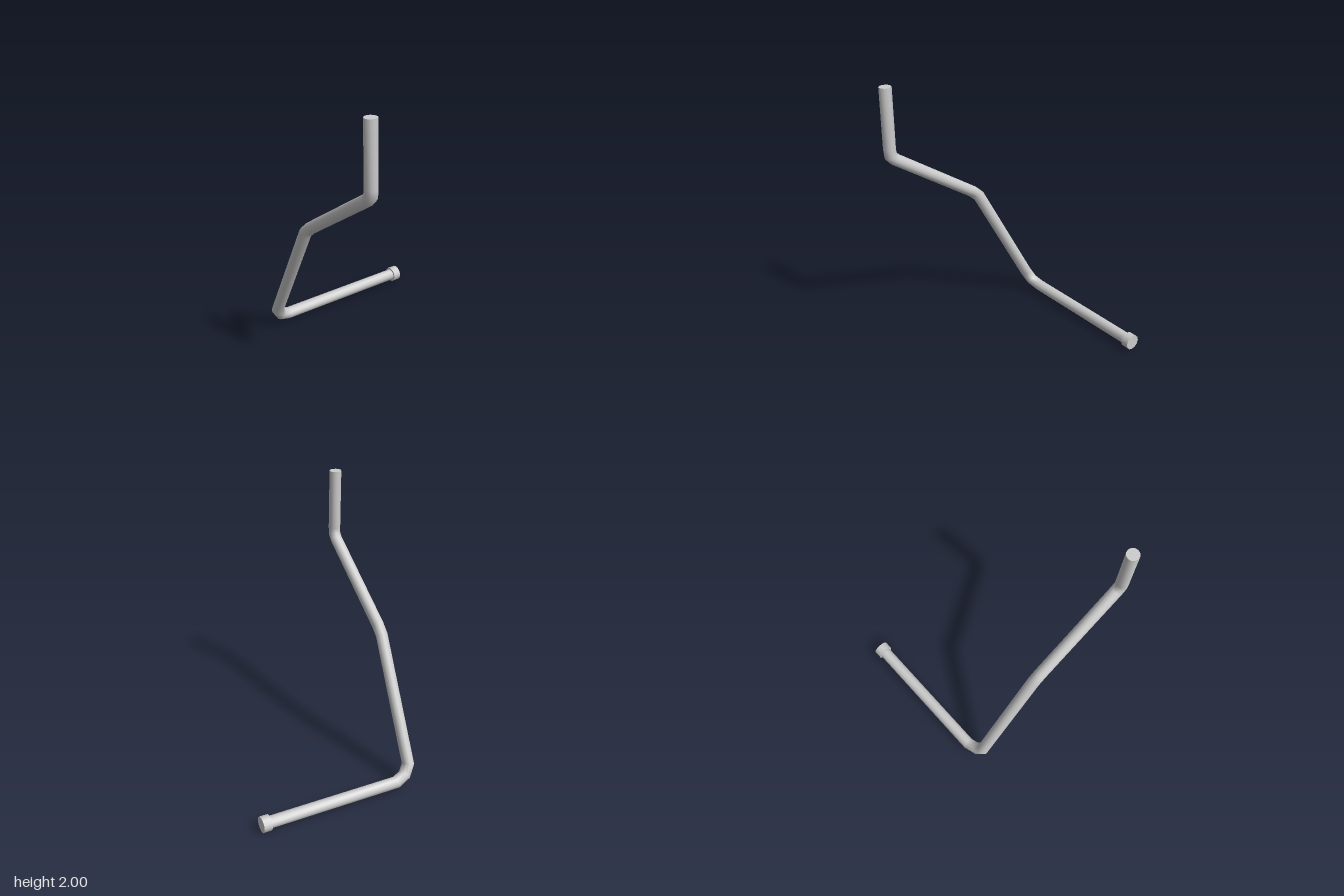
import * as THREE from 'three';

const SIDES = 12;
const RADIUS = 0.044;

// Sweep a round section along straight runs, mitring the rings at each bend
function sweepPipe(points, radius, sides) {
  const dirs = points.slice(1).map((p, i) => p.clone().sub(points[i]).normalize());
  const positions = [];
  const index = [];
  const u = new THREE.Vector3(1, 0, 0);
  const v = new THREE.Vector3();
  const p = new THREE.Vector3();
  points.forEach((point, i) => {
    const before = dirs[Math.max(i - 1, 0)];
    const after = dirs[Math.min(i, dirs.length - 1)];
    const plane = before.clone().add(after).normalize();
    // Carry the frame along the run that arrives at this ring
    u.addScaledVector(before, -u.dot(before)).normalize();
    v.crossVectors(before, u);
    for (let k = 0; k < sides; k++) {
      const a = (k / sides) * Math.PI * 2;
      p.set(0, 0, 0).addScaledVector(u, Math.cos(a) * radius).addScaledVector(v, Math.sin(a) * radius);
      p.addScaledVector(before, -p.dot(plane) / before.dot(plane)).add(point);
      positions.push(p.x, p.y, p.z);
      if (i < points.length - 1) {
        const n = (k + 1) % sides;
        const r0 = i * sides;
        const r1 = r0 + sides;
        index.push(r0 + k, r0 + n, r1 + k, r0 + n, r1 + n, r1 + k);
      }
    }
  });
  const geometry = new THREE.BufferGeometry();
  geometry.setAttribute('position', new THREE.Float32BufferAttribute(positions, 3));
  geometry.setIndex(index);
  geometry.computeVertexNormals();
  return geometry;
}

export function createModel() {
  const group = new THREE.Group();
  group.name = 'bentPipe';
  const material = new THREE.MeshStandardMaterial({ color: 0xcccccc, side: THREE.DoubleSide });
  const add = (name, geometry) => {
    const mesh = new THREE.Mesh(geometry, material);
    mesh.name = name;
    group.add(mesh);
    return mesh;
  };

  // Centre line from the collar end up to the top end
  const path = [
    [-0.625, 0.06, -0.6],
    [-0.625, 0.06, 0.44],
    [-0.605, 0.09, 0.52],
    [-0.577, 0.155, 0.562],
    [-0.115, 0.985, 0.576],
    [-0.055, 1.04, 0.576],
    [0.595, 1.475, 0.576],
    [0.627, 1.51, 0.576],
    [0.632, 1.56, 0.576],
    [0.632, 2, 0.576],
  ].map((c) => new THREE.Vector3(...c));
  add('pipe', sweepPipe(path, RADIUS, SIDES));

  // Flat end at the top
  const cap = add('topEnd', new THREE.CircleGeometry(RADIUS, SIDES));
  cap.rotation.x = -Math.PI / 2;
  cap.position.copy(path[path.length - 1]);

  // Collar on the back end
  const collar = add('collar', new THREE.CylinderGeometry(0.058, 0.058, 0.06, SIDES));
  collar.rotation.x = Math.PI / 2;
  collar.position.set(-0.625, 0.06, -0.59);

  return group;
}
